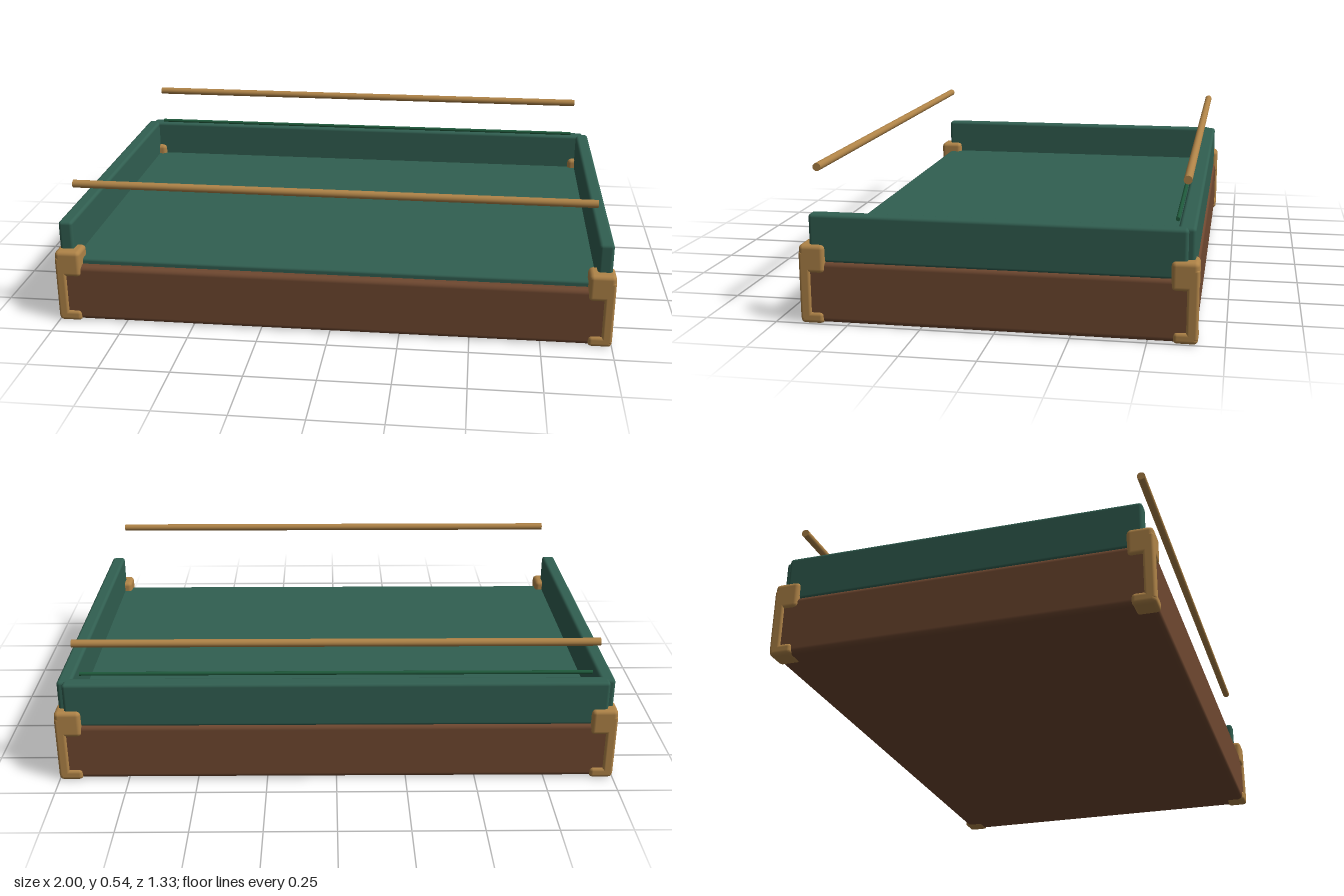
import * as THREE from 'three';
import { RoundedBoxGeometry } from 'three/addons/geometries/RoundedBoxGeometry.js';

const paint = (color) => new THREE.MeshStandardMaterial({ color });

export function createModel() {
  const model = new THREE.Group();
  const wood = paint(0x6f4830), felt = paint(0x315f51), brass = paint(0xb08448), trim = paint(0x1f5a3c);

  // Rounded block given by its lower and upper corners
  const block = (name, material, [x0, y0, z0], [x1, y1, z1], radius, parent = model) => {
    const mesh = new THREE.Mesh(new RoundedBoxGeometry(x1 - x0, y1 - y0, z1 - z0, 2, radius), material);
    mesh.position.set((x0 + x1) / 2, (y0 + y1) / 2, (z0 + z1) / 2);
    mesh.name = name;
    parent.add(mesh);
  };

  // Wooden base and felt floor
  block('base', wood, [-0.993, 0.003, -0.655], [0.993, 0.215, 0.655], 0.018);
  block('floor', felt, [-0.95, 0.2, -0.62], [0.95, 0.235, 0.625], 0.01);

  // Walls on three sides, open at the front
  block('backWall', felt, [-0.965, 0.21, -0.648], [0.965, 0.376, -0.59], 0.012);
  block('leftWall', felt, [0.935, 0.21, -0.625], [0.987, 0.376, 0.628], 0.012);
  block('rightWall', felt, [-0.987, 0.21, -0.625], [-0.935, 0.376, 0.628], 0.012);

  // Brass corner fittings: cap, post and foot
  for (const sx of [-1, 1]) {
    for (const sz of [-1, 1]) {
      const corner = new THREE.Group();
      corner.name = 'cornerFitting';
      const span = (s, a, b) => (s > 0 ? [a, b] : [-b, -a]);
      const piece = (name, xIn, zIn, y0, y1, radius) => {
        const [x0, x1] = span(sx, xIn, 1), [z0, z1] = span(sz, zIn, 0.663);
        block(name, brass, [x0, y0, z0], [x1, y1, z1], radius, corner);
      };
      piece('cornerCap', 0.906, 0.573, 0.174, 0.273, 0.016);
      piece('cornerPost', 0.962, 0.624, 0.01, 0.25, 0.01);
      piece('cornerFoot', 0.915, 0.582, 0, 0.04, 0.014);
      model.add(corner);
    }
  }

  // Horizontal rods floating above the front and back edges
  const rod = (name, material, length, radius, y, z, sides) => {
    const mesh = new THREE.Mesh(new THREE.CylinderGeometry(radius, radius, length, sides), material);
    mesh.rotation.z = Math.PI / 2;
    mesh.position.set(0, y, z);
    mesh.name = name;
    model.add(mesh);
  };
  rod('frontRod', brass, 1.84, 0.014, 0.521, 0.615, 16);
  rod('backRod', brass, 1.84, 0.014, 0.521, -0.615, 16);

  // Thin trim line above the back wall
  rod('backTrim', trim, 1.82, 0.007, 0.39, -0.586, 8);

  return model;
}
